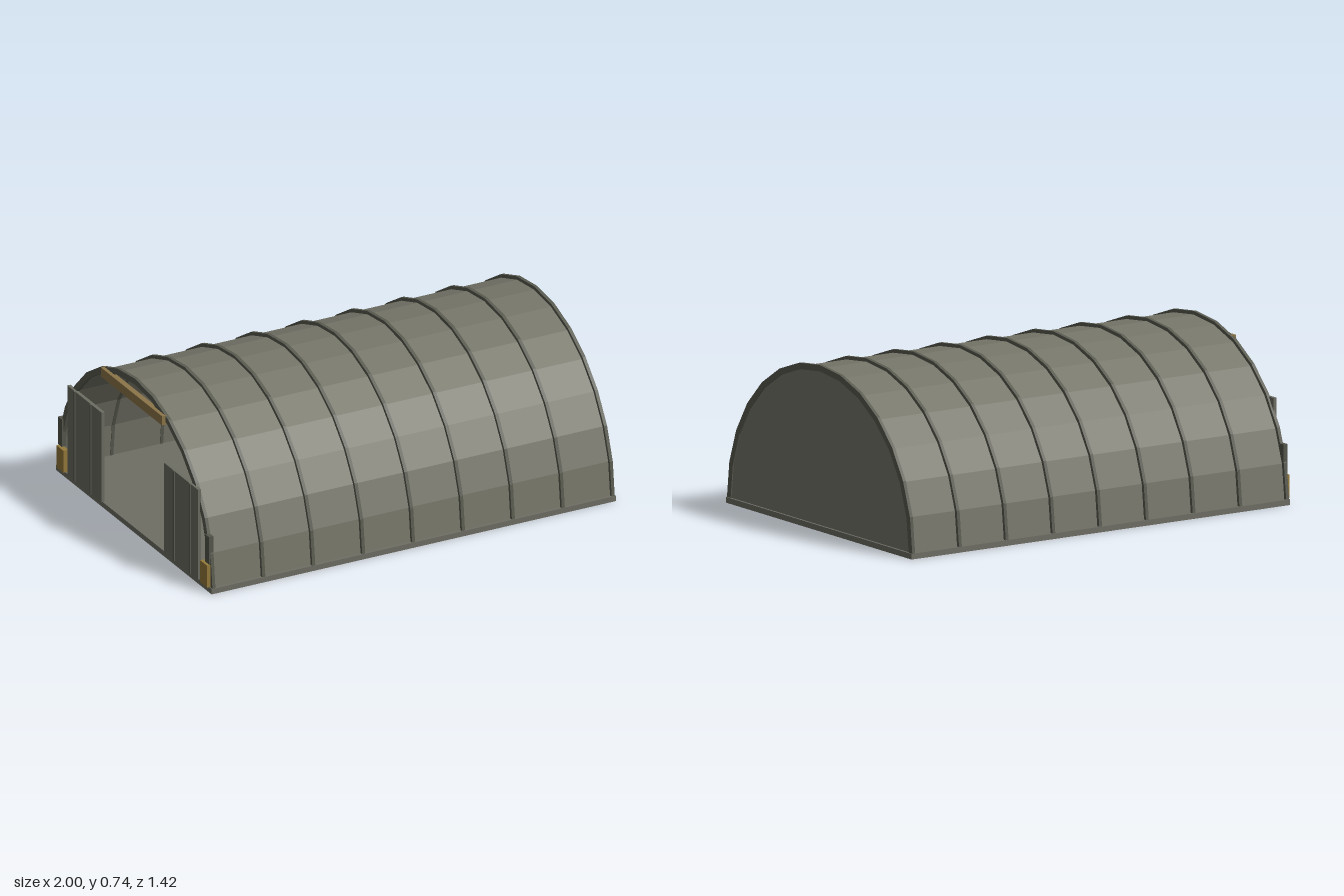
import * as THREE from 'three';

const SEGMENTS = 14;
const FLOOR = 0.025;
const MID_X = 0.006;

const mat = (name, color) => {
  const m = new THREE.MeshStandardMaterial({ color });
  m.name = name;
  return m;
};

// Points of a half circle with flat facets, from one foot to the other
function arcPoints(radius) {
  const pts = [];
  for (let i = 0; i <= SEGMENTS; i++) {
    const a = (i / SEGMENTS) * Math.PI;
    pts.push(new THREE.Vector2(Math.cos(a) * radius, FLOOR + Math.sin(a) * radius));
  }
  return pts;
}

// Extrudes an arch along x; an inner radius of 0 gives a solid half disc
function archGeometry(outer, inner, x0, x1) {
  const pts = arcPoints(outer);
  if (inner > 0) pts.push(...arcPoints(inner).reverse());
  const geo = new THREE.ExtrudeGeometry(new THREE.Shape(pts), { depth: x1 - x0, bevelEnabled: false });
  return geo.rotateY(Math.PI / 2).translate(x0, 0, 0);
}

export function createModel() {
  const model = new THREE.Group();
  model.name = 'archedHangar';

  const shellMat = mat('olive grey panel', 0x76766a);
  const ribMat = mat('dark olive rib', 0x5a5b50);
  const floorMat = mat('grey concrete', 0x6e6e64);
  const doorMat = mat('door grey', 0x6c6d62);
  const boxMat = mat('dark grey box', 0x55564c);
  const yellowMat = mat('dull yellow', 0x94793a);
  const brownMat = mat('tan beam', 0x8c7548);

  const add = (name, geo, material) => {
    const mesh = new THREE.Mesh(geo, material);
    mesh.name = name;
    model.add(mesh);
    return mesh;
  };
  // Box given by its minimum and maximum corners
  const box = (name, material, x0, x1, y0, y1, z0, z1) => {
    const geo = new THREE.BoxGeometry(x1 - x0, y1 - y0, Math.abs(z1 - z0));
    add(name, geo.translate((x0 + x1) / 2, (y0 + y1) / 2, (z0 + z1) / 2), material);
  };

  // Floor slab
  box('floorSlab', floorMat, -0.988, 1, 0, FLOOR, -0.712, 0.712);

  // Vaulted roof and closed end wall
  add('roofShell', archGeometry(0.695, 0.685, -0.976, 0.987), shellMat);
  add('endWall', archGeometry(0.69, 0, 0.978, 0.99), shellMat);

  // Arched ribs
  for (let i = 0; i < 9; i++) {
    const x = MID_X + (i - 4) * 0.2454;
    add('rib' + (i + 1), archGeometry(0.71, 0.682, x - 0.0075, x + 0.0075), ribMat);
  }

  // Beam over the open end
  box('doorHeader', brownMat, -1, -0.974, 0.632, 0.676, -0.28, 0.28);

  // Sliding doors and gear on each side of the open end
  for (const s of [-1, 1]) {
    const side = s > 0 ? 'left' : 'right';
    box(side + 'Door', doorMat, -0.994, -0.978, FLOOR, 0.455, s * 0.285, s * 0.598);
    for (const z of [0.38, 0.53]) {
      box(side + 'DoorBatten', ribMat, -0.999, -0.993, FLOOR, 0.455, s * (z - 0.006), s * (z + 0.006));
    }
    box(side + 'LowerCrate', yellowMat, -0.998, -0.974, FLOOR, 0.13, s * 0.625, s * 0.69);
    box(side + 'ControlBox', boxMat, -0.99, -0.968, 0.135, 0.266, s * 0.655, s * 0.69);
  }

  return model;
}
